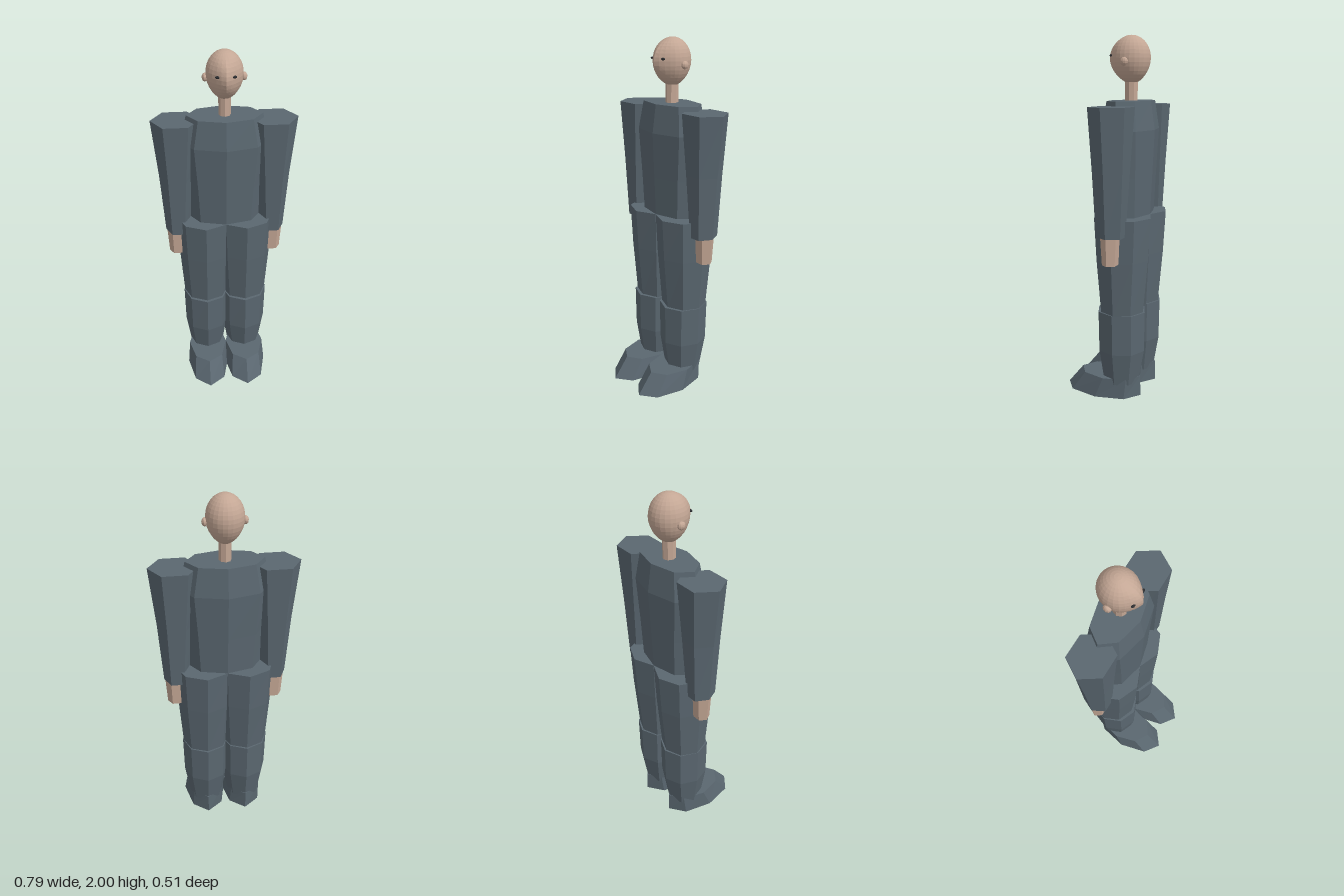
import * as THREE from 'three';

const Z = -0.09; // body axis, set back because the feet point forward

// Skin a stack of elliptical polygons; each ring is [y, centreX, centreZ, radiusX, radiusZ]
function loft(rings, sides, phase = 0) {
  const pos = [], index = [];
  for (const [y, cx, cz, rx, rz] of rings) {
    for (let i = 0; i < sides; i++) {
      const a = phase + (i / sides) * Math.PI * 2;
      pos.push(cx + rx * Math.sin(a), y, cz + rz * Math.cos(a));
    }
  }
  const top = (rings.length - 1) * sides;
  const bottomCentre = rings.length * sides, topCentre = bottomCentre + 1;
  for (const [y, cx, cz] of [rings[0], rings[rings.length - 1]]) pos.push(cx, y, cz);
  for (let i = 0; i < sides; i++) {
    const j = (i + 1) % sides;
    for (let r = 0; r < top; r += sides) {
      index.push(r + i, r + j, r + sides + j, r + i, r + sides + j, r + sides + i);
    }
    index.push(bottomCentre, j, i, topCentre, top + i, top + j);
  }
  const g = new THREE.BufferGeometry();
  g.setAttribute('position', new THREE.Float32BufferAttribute(pos, 3));
  g.setIndex(index);
  const flat = g.toNonIndexed();
  flat.computeVertexNormals();
  return flat;
}

// Egg-shaped head, tapering to the chin, with a nose ridge down the front
function headGeometry() {
  const g = new THREE.SphereGeometry(1, 24, 18);
  const p = g.attributes.position;
  for (let i = 0; i < p.count; i++) {
    const y = p.getY(i);
    const taper = y < 0 ? 1 - 0.14 * y * y : 1;
    const x = p.getX(i) * 0.098 * taper;
    let z = p.getZ(i) * 0.105 * taper;
    if (z > 0) {
      const ridge = Math.max(0, 1 - Math.abs(x) / 0.06);
      z += 0.024 * ridge * Math.max(0, 1 - y * y * 1.3);
    }
    p.setXYZ(i, x, 1.88 + y * (y < 0 ? 0.137 : 0.12), Z + z);
  }
  const flat = g.toNonIndexed();
  flat.computeVertexNormals();
  return flat;
}

export function createModel() {
  const model = new THREE.Group();
  model.name = 'standingFigure';

  const material = (name, color) => {
    const m = new THREE.MeshStandardMaterial({ color, flatShading: true });
    m.name = name;
    return m;
  };
  const cloth = material('slateCloth', 0x5a6770);
  const skin = material('skin', 0xc4a795);
  const dark = material('eyeDark', 0x2a2c2f);

  const add = (name, geometry, mat) => {
    const mesh = new THREE.Mesh(geometry, mat);
    mesh.name = name;
    model.add(mesh);
    return mesh;
  };
  const ball = (name, mat, position, scale) => {
    const mesh = add(name, new THREE.SphereGeometry(1, 10, 8), mat);
    mesh.position.set(...position);
    mesh.scale.set(...scale);
  };

  // Head, neck and torso
  add('head', headGeometry(), skin);
  add('neck', loft([[1.63, 0, Z, 0.033, 0.037], [1.78, 0, Z, 0.033, 0.037]], 8), skin);
  add('torso', loft([
    [1.02, 0, Z, 0.2, 0.115],
    [1.25, 0, Z, 0.215, 0.126],
    [1.5, 0, Z, 0.24, 0.138],
    [1.655, 0, Z, 0.205, 0.115],
  ], 8), cloth);

  // Paired parts
  for (const [side, s] of [['left', 1], ['right', -1]]) {
    ball(side + 'Ear', skin, [s * 0.101, 1.86, Z], [0.016, 0.022, 0.022]);
    ball(side + 'Eye', dark, [s * 0.042, 1.893, 0.01], [0.013, 0.007, 0.009]);

    // Six-sided sleeve and hand
    add(side + 'Arm', loft([
      [0.95, s * 0.27, Z, 0.07, 0.081],
      [1.3, s * 0.265, Z, 0.098, 0.1],
      [1.63, s * 0.262, Z, 0.133, 0.12],
    ], 6, Math.PI / 6), cloth);
    add(side + 'Hand', loft([
      [0.8, s * 0.277, Z, 0.048, 0.043],
      [0.96, s * 0.275, Z, 0.06, 0.053],
    ], 6, Math.PI / 6), skin);

    // Eight-sided trouser leg in two sections
    add(side + 'Thigh', loft([
      [0.49, s * 0.115, Z, 0.13, 0.124],
      [0.8, s * 0.115, Z, 0.152, 0.152],
      [1.035, s * 0.115, Z, 0.162, 0.166],
    ], 8), cloth);
    add(side + 'Shin', loft([
      [0.08, s * 0.115, -0.085, 0.1, 0.104],
      [0.27, s * 0.115, -0.086, 0.13, 0.136],
      [0.5, s * 0.115, -0.086, 0.135, 0.14],
    ], 8), cloth);

    // Shoe with a sloping toe
    add(side + 'Shoe', loft([
      [0, s * 0.115, 0.025, 0.126, 0.229],
      [0.115, s * 0.115, -0.02, 0.115, 0.181],
    ], 8), cloth);
  }
  return model;
}
